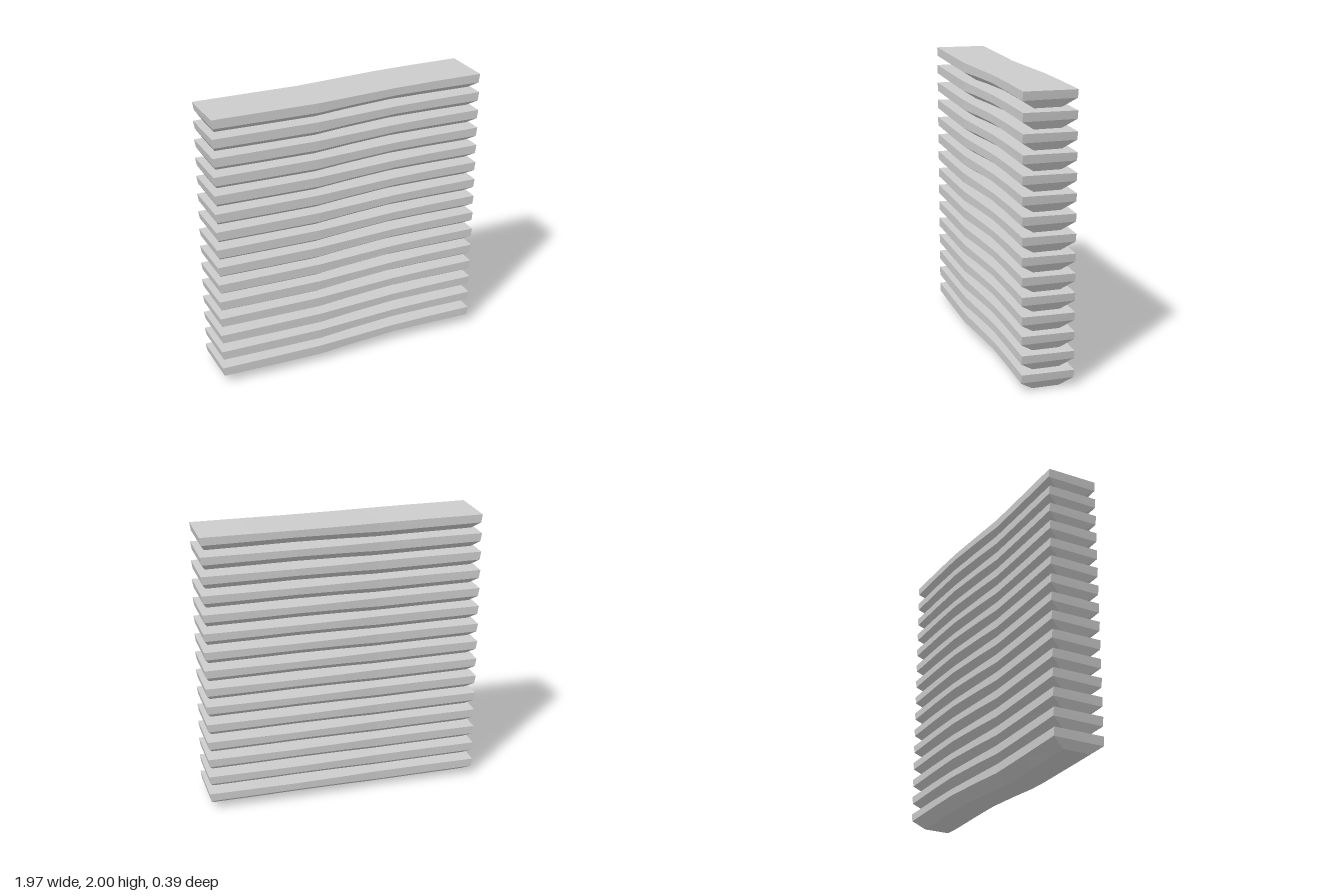
import * as THREE from 'three';

// Stations along the slat: fraction of half length, sway in z, lift of the top and of the underside
const STATIONS = [
  [-1, -0.001, 0, 0], [-0.6, 0.006, -0.002, -0.005], [-0.25, 0.01, -0.005, -0.009],
  [0, -0.002, -0.004, 0], [0.35, -0.016, -0.001, 0.008], [0.65, -0.015, 0, 0.005],
  [1, -0.009, -0.001, 0.001],
];
// Hexagonal cross-section, counterclockwise from +x: half length, y, z
const SECTION = [
  [0.985, 0.125, -0.182], [0.985, 0.13, 0.182], [0.975, 0.068, 0.184],
  [0.94, 0.01, 0.095], [0.94, 0.01, -0.092], [0.975, 0.068, -0.182],
];

// Loft the section along the stations and close both ends
function slatGeometry() {
  const positions = [], index = [], n = SECTION.length;
  for (const [t, sway, topLift, lowLift] of STATIONS) {
    SECTION.forEach(([half, y, z], j) => {
      positions.push(t * half, y + (j < 2 ? topLift : lowLift), z + sway);
    });
  }
  for (let i = 0; i < STATIONS.length - 1; i++) {
    for (let j = 0; j < n; j++) {
      const k = (j + 1) % n;
      const a = i * n + j, b = i * n + k, c = b + n, d = a + n;
      index.push(a, b, c, a, c, d);
    }
  }
  const last = (STATIONS.length - 1) * n;
  for (const [a, b, c] of [[0, 1, 2], [0, 2, 5], [5, 2, 3], [5, 3, 4]]) {
    index.push(last + a, last + b, last + c, c, b, a);
  }
  const geometry = new THREE.BufferGeometry();
  geometry.setAttribute('position', new THREE.Float32BufferAttribute(positions, 3));
  geometry.setIndex(index);
  const flat = geometry.toNonIndexed();
  flat.computeVertexNormals();
  return flat;
}

export function createModel() {
  const model = new THREE.Group();
  model.name = 'slatStack';
  const material = new THREE.MeshStandardMaterial({ color: 0xcccccc, flatShading: true });
  const geometry = slatGeometry();

  // Fifteen identical slats, evenly stacked
  const count = 15, pitch = 1.87 / (count - 1);
  for (let i = 0; i < count; i++) {
    const slat = new THREE.Mesh(geometry, material);
    slat.name = `slat${i + 1}`;
    slat.position.y = i * pitch;
    model.add(slat);
  }
  return model;
}
